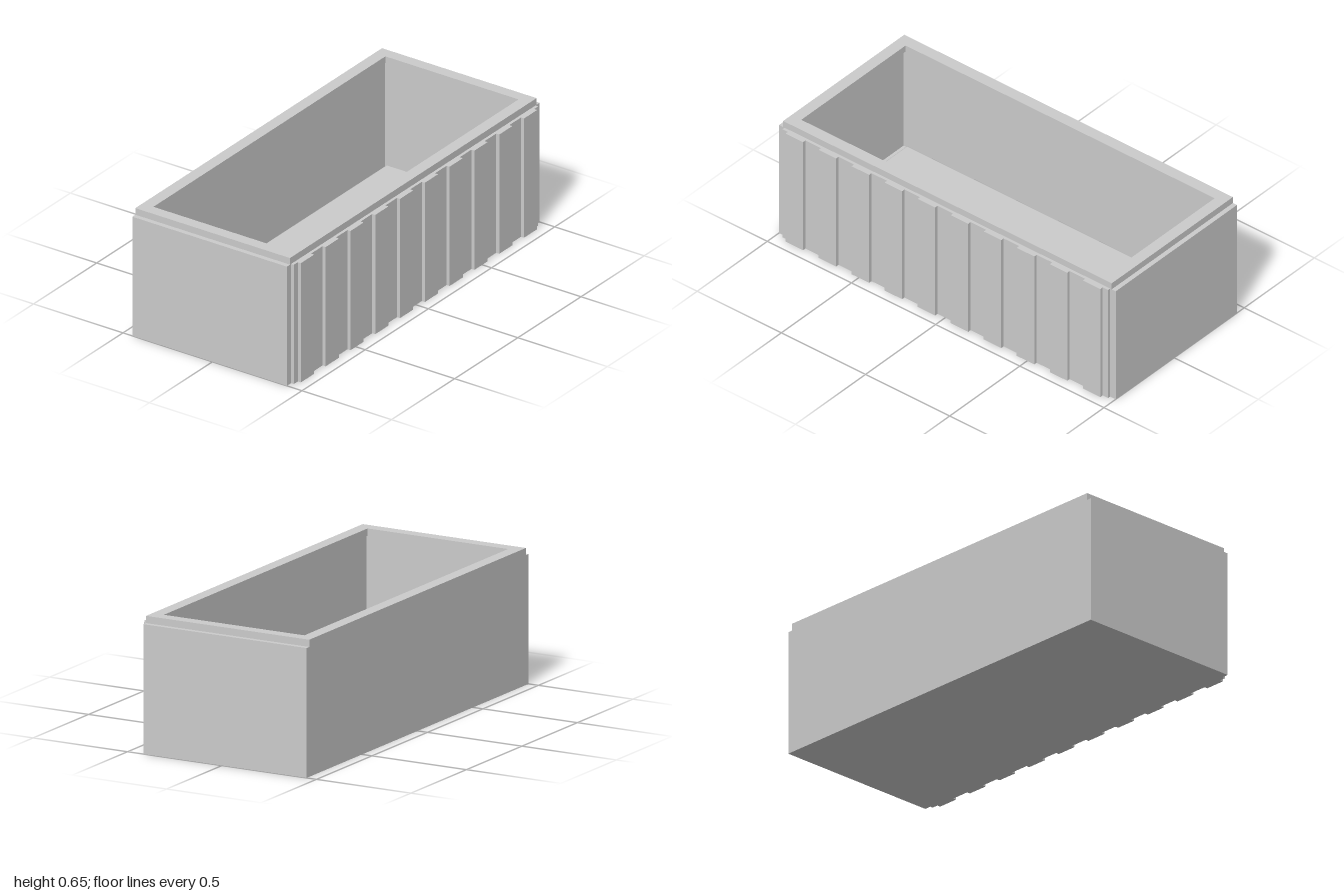
import * as THREE from 'three';
import { RoundedBoxGeometry } from 'three/addons/geometries/RoundedBoxGeometry.js';

const material = new THREE.MeshStandardMaterial({ color: 0xcccccc });
const CZ = -0.016; // centre of the box in z, behind the ribbed front

function rectangle(target, halfX, halfZ) {
  target.moveTo(-halfX, -halfZ);
  target.lineTo(halfX, -halfZ);
  target.lineTo(halfX, halfZ);
  target.lineTo(-halfX, halfZ);
  target.closePath();
  return target;
}

// Upright rectangular frame, from outer and inner half sizes
function frame(name, outer, inner, y0, y1) {
  const shape = rectangle(new THREE.Shape(), ...outer);
  shape.holes.push(rectangle(new THREE.Path(), ...inner));
  const geometry = new THREE.ExtrudeGeometry(shape, { depth: y1 - y0, bevelEnabled: false });
  geometry.rotateX(-Math.PI / 2).translate(0, y0, CZ);
  const mesh = new THREE.Mesh(geometry, material);
  mesh.name = name;
  return mesh;
}

function part(name, geometry, x, y, z) {
  const mesh = new THREE.Mesh(geometry, material);
  mesh.name = name;
  mesh.position.set(x, y, z);
  return mesh;
}

export function createModel() {
  const model = new THREE.Group();
  model.name = 'ribbedTrough';
  const height = 0.612;

  // Open box with an overhanging rim
  model.add(frame('walls', [1, 0.432], [0.952, 0.399], 0, height));
  model.add(frame('rim', [0.976, 0.432], [0.918, 0.372], height, 0.646));
  model.add(part('floor', new THREE.BoxGeometry(1.92, 0.048, 0.82), 0, 0.024, CZ));

  // Cushion with rounded edges lying on the floor
  model.add(part('cushion', new RoundedBoxGeometry(1.77, 0.07, 0.68, 3, 0.014), 0, 0.082, -0.018));

  // Front panel with evenly spaced vertical ribs
  model.add(part('frontPanel', new THREE.BoxGeometry(1.934, height, 0.015), 0, height / 2, 0.4235));
  const ribs = new THREE.Group();
  ribs.name = 'frontRibs';
  const ribGeometry = new THREE.BoxGeometry(0.104, height, 0.017);
  for (let i = 0; i < 10; i++) {
    ribs.add(part('rib', ribGeometry, (i - 4.5) * 0.1962, height / 2, 0.4395));
  }
  model.add(ribs);
  return model;
}
